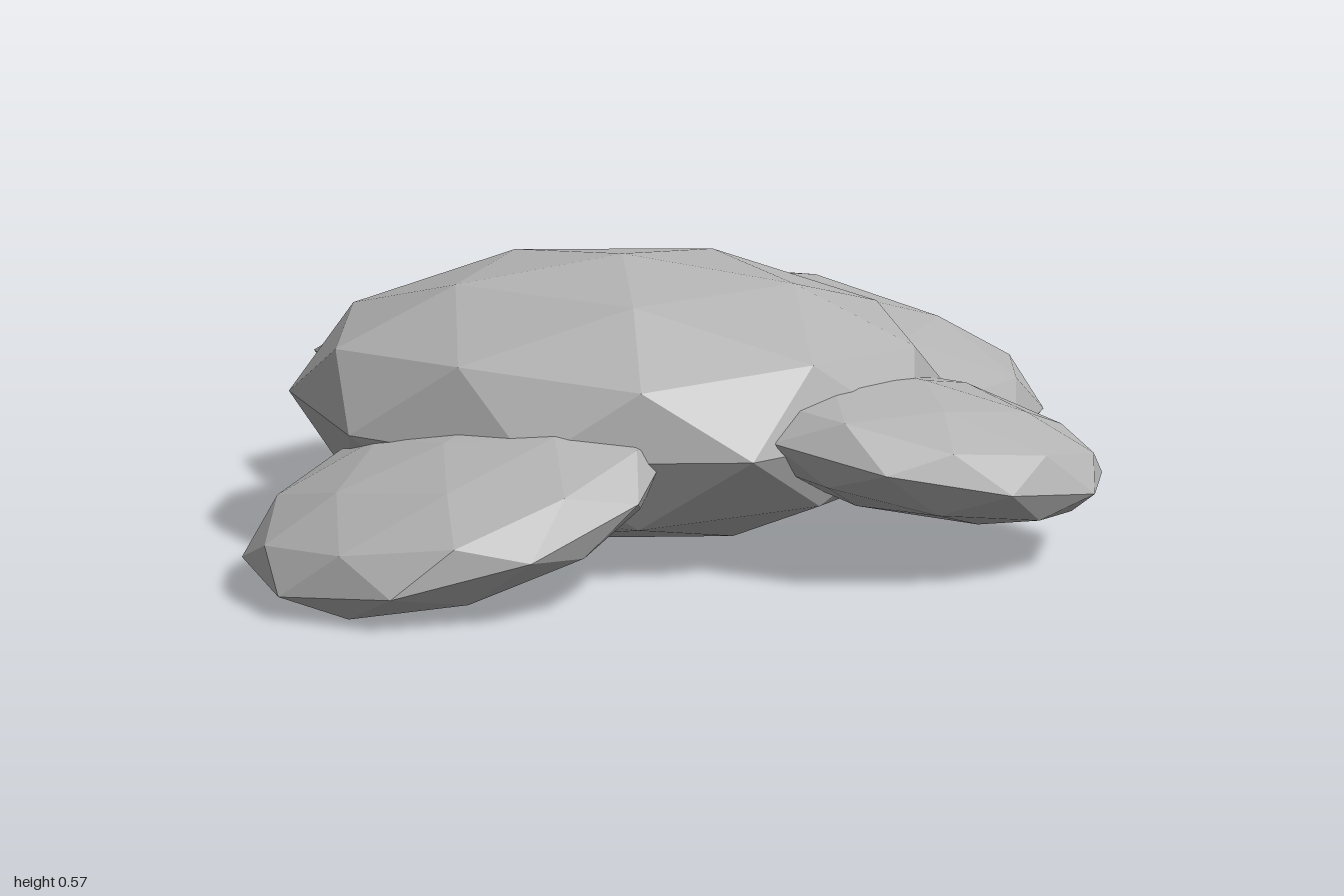
import * as THREE from 'three';

const stone = new THREE.MeshStandardMaterial({ color: 0xb2b2b2, flatShading: true });
stone.name = 'plain grey';

// A squashed, faceted ball: pole up, equator corners turned to `phase` degrees,
// its long axis swung by `swing` degrees from +x towards +z, then tilted.
function puff(name, centre, radii, phase, swing, tiltX, tiltZ) {
  const { degToRad } = THREE.MathUtils;
  const geometry = new THREE.IcosahedronGeometry(1, 1);
  geometry.rotateZ(Math.atan(2 / (1 + Math.sqrt(5)))); // stand it on a corner
  geometry.rotateY(degToRad(18 - phase + swing));
  geometry.scale(...radii);
  geometry.rotateY(degToRad(-swing));
  const mesh = new THREE.Mesh(geometry, stone);
  mesh.name = name;
  mesh.position.set(...centre);
  mesh.rotation.set(tiltX, 0, tiltZ);
  return mesh;
}

export function createModel() {
  const group = new THREE.Group();
  group.name = 'puffCluster';
  group.add(
    // large central body
    puff('mainPuff', [-0.13, 0.293, 0.095], [0.675, 0.283, 0.553], 22, 24, 0.09, 0.03),
    // broad lobe on the +x side, sloping outward and forward
    puff('leftPuff', [0.445, 0.27, -0.145], [0.565, 0.168, 0.493], -12, 0, 0.18, -0.16),
    // low lobe on the -x side
    puff('rightPuff', [-0.61, 0.16, 0.38], [0.42, 0.122, 0.36], 19, 0, 0.11, 0.27),
    // front lobe
    puff('frontPuff', [0.3, 0.22, 0.53], [0.4, 0.127, 0.375], 20, 0, 0.1, -0.16),
    // rear lobe
    puff('backPuff', [-0.06, 0.21, -0.5], [0.505, 0.122, 0.395], 29, 19, 0, -0.16),
  );
  return group;
}
